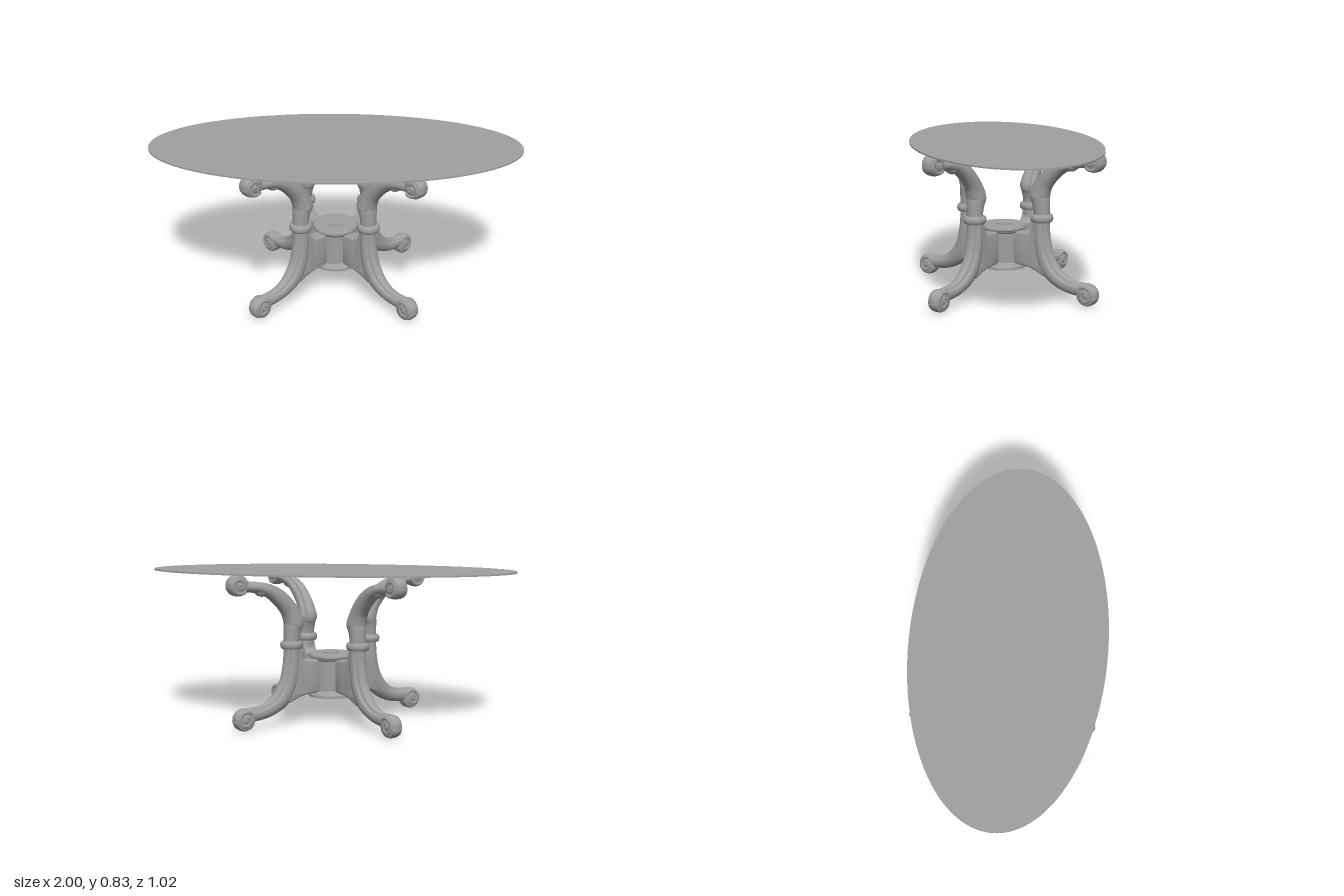
import * as THREE from 'three';
import { toCreasedNormals } from 'three/addons/utils/BufferGeometryUtils.js';

const material = new THREE.MeshStandardMaterial({ color: 0x9f9f9f, side: THREE.DoubleSide });

function add(parent, name, geometry, x = 0, y = 0, z = 0) {
  const mesh = new THREE.Mesh(geometry, material);
  mesh.name = name;
  mesh.position.set(x, y, z);
  parent.add(mesh);
  return mesh;
}

function lathe(points, segments = 48) {
  const profile = points.map(([r, y]) => new THREE.Vector2(r, y));
  return toCreasedNormals(new THREE.LatheGeometry(profile, segments), 0.7);
}

// Sweeps a fluted oval along stations [radius, height, half thickness, half width]
function limb(stations, rings = 64, sides = 56) {
  const path = new THREE.CatmullRomCurve3(stations.map(([r, y]) => new THREE.Vector3(r, y, 0)));
  const size = new THREE.CatmullRomCurve3(stations.map((s) => new THREE.Vector3(s[2], s[3], 0)));
  path.curveType = size.curveType = 'catmullrom';
  const positions = [], index = [];
  for (let i = 0; i <= rings; i++) {
    const t = i / rings;
    const c = path.getPoint(t), d = path.getTangent(t), h = size.getPoint(t);
    const depth = 0.17 * Math.min(1, 6 * t, 5 * (1 - t));
    for (let j = 0; j < sides; j++) {
      const a = (j / sides) * Math.PI * 2;
      const fromRidge = Math.min(a, Math.PI * 2 - a);
      const flute = 1 - depth * Math.exp(-(((fromRidge - 0.85) / 0.17) ** 2));
      const n = h.x * Math.cos(a) * flute, s = h.y * Math.sin(a) * flute;
      positions.push(c.x - d.y * n, c.y + d.x * n, s);
      if (i < rings) {
        const k = (j + 1) % sides, p = i * sides, q = p + sides;
        index.push(p + j, p + k, q + k, p + j, q + k, q + j);
      }
    }
  }
  const g = new THREE.BufferGeometry();
  g.setAttribute('position', new THREE.Float32BufferAttribute(positions, 3));
  g.setIndex(index);
  g.computeVertexNormals();
  return g;
}

// Rounded drum with a raised spiral on both faces; turn is the curl direction
function scroll(parent, name, r, y, radius, half, turn) {
  const group = new THREE.Group();
  group.name = name;
  group.position.set(r, y, 0);
  parent.add(group);
  const drum = lathe([
    [0, -half], [radius * 0.72, -half], [radius * 0.9, -half * 0.85], [radius * 0.98, -half * 0.5], [radius, 0],
    [radius * 0.98, half * 0.5], [radius * 0.9, half * 0.85], [radius * 0.72, half], [0, half],
  ], 40);
  drum.rotateX(Math.PI / 2);
  add(group, 'scrollDrum', drum);
  const points = [];
  for (let i = 0; i <= 32; i++) {
    const t = i / 32, a = turn * (-2.4 + t * Math.PI * 2.7);
    const q = radius * (0.8 - 0.62 * t);
    points.push(new THREE.Vector3(q * Math.cos(a), q * Math.sin(a), 0));
  }
  const spiral = new THREE.TubeGeometry(new THREE.CatmullRomCurve3(points), 64, 0.009, 8);
  for (const side of [-1, 1]) {
    const curl = add(group, 'scrollSpiral', spiral, 0, 0, side * half * 0.95);
    curl.scale.z = 0.7;
    const eye = add(group, 'scrollEye', new THREE.SphereGeometry(0.013, 16, 10), 0, 0, side * half * 0.95);
    eye.scale.z = 0.6;
  }
}

// Bracket with rounded ends joining the leg to the hub
function bracketGeometry() {
  const s = new THREE.Shape();
  s.moveTo(0.09, 0.21);
  s.quadraticCurveTo(0.092, 0.178, 0.125, 0.178);
  s.lineTo(0.18, 0.175);
  s.quadraticCurveTo(0.235, 0.165, 0.285, 0.14);
  s.lineTo(0.31, 0.165);
  s.quadraticCurveTo(0.258, 0.25, 0.25, 0.41);
  s.lineTo(0.232, 0.41);
  s.quadraticCurveTo(0.222, 0.345, 0.18, 0.342);
  s.lineTo(0.125, 0.34);
  s.quadraticCurveTo(0.092, 0.34, 0.09, 0.308);
  s.closePath();
  const g = new THREE.ExtrudeGeometry(s, {
    depth: 0.056, bevelEnabled: true, bevelSize: 0.011, bevelThickness: 0.011, bevelSegments: 5, curveSegments: 12,
  });
  g.translate(0, 0, -0.028);
  return toCreasedNormals(g, 0.6);
}

function createLeg() {
  const leg = new THREE.Group();
  leg.name = 'leg';

  // Lower leg sweeping down and out to the foot
  add(leg, 'lowerLeg', limb([
    [0.255, 0.44, 0.044, 0.044], [0.256, 0.38, 0.044, 0.045], [0.262, 0.31, 0.046, 0.047],
    [0.281, 0.225, 0.05, 0.047], [0.325, 0.153, 0.051, 0.045], [0.39, 0.108, 0.043, 0.039],
    [0.46, 0.088, 0.039, 0.034], [0.54, 0.084, 0.039, 0.031],
  ]));
  scroll(leg, 'footScroll', 0.552, 0.062, 0.06, 0.033, -1);

  // Collar between the two halves
  add(leg, 'collar', lathe([
    [0.04, 0.417], [0.054, 0.419], [0.06, 0.426], [0.062, 0.44], [0.06, 0.452], [0.054, 0.459], [0.04, 0.461],
  ], 32), 0.255, 0, 0);

  // Upper arm with its pointed knee, curving out to the top scroll
  add(leg, 'upperArm', limb([
    [0.255, 0.44, 0.043, 0.043], [0.253, 0.485, 0.045, 0.045], [0.247, 0.53, 0.051, 0.05],
    [0.241, 0.554, 0.056, 0.054], [0.246, 0.576, 0.054, 0.052], [0.272, 0.63, 0.048, 0.046],
    [0.325, 0.69, 0.045, 0.043], [0.395, 0.735, 0.037, 0.039], [0.475, 0.757, 0.03, 0.037],
    [0.565, 0.765, 0.03, 0.034],
  ]));
  scroll(leg, 'topScroll', 0.582, 0.772, 0.057, 0.036, 1);

  // Small swelling under the arm
  const swelling = add(leg, 'armSwelling', new THREE.SphereGeometry(0.03, 20, 14), 0.445, 0.732, 0);
  swelling.scale.set(1.3, 0.8, 1);
  swelling.rotation.z = 0.35;

  add(leg, 'bracket', bracketGeometry());
  return leg;
}

export function createModel() {
  const model = new THREE.Group();
  model.name = 'ovalTable';

  // Thin oval top
  const top = add(model, 'tableTop', new THREE.CylinderGeometry(1, 1, 0.008, 128), 0, 0.83, 0);
  top.scale.z = 0.511;

  // Central hub with stepped rims and a small cap
  add(model, 'hub', lathe([
    [0, 0.138], [0.127, 0.138], [0.127, 0.153], [0.121, 0.16], [0.117, 0.168], [0.108, 0.175],
    [0.108, 0.338], [0.116, 0.346], [0.118, 0.354], [0.124, 0.358], [0.124, 0.37], [0.119, 0.376],
    [0.043, 0.376], [0.043, 0.382], [0, 0.382],
  ], 64));

  // Four legs on the diagonals
  for (let i = 0; i < 4; i++) {
    const leg = createLeg();
    leg.rotation.y = Math.PI / 4 + (i * Math.PI) / 2;
    model.add(leg);
  }
  return model;
}
